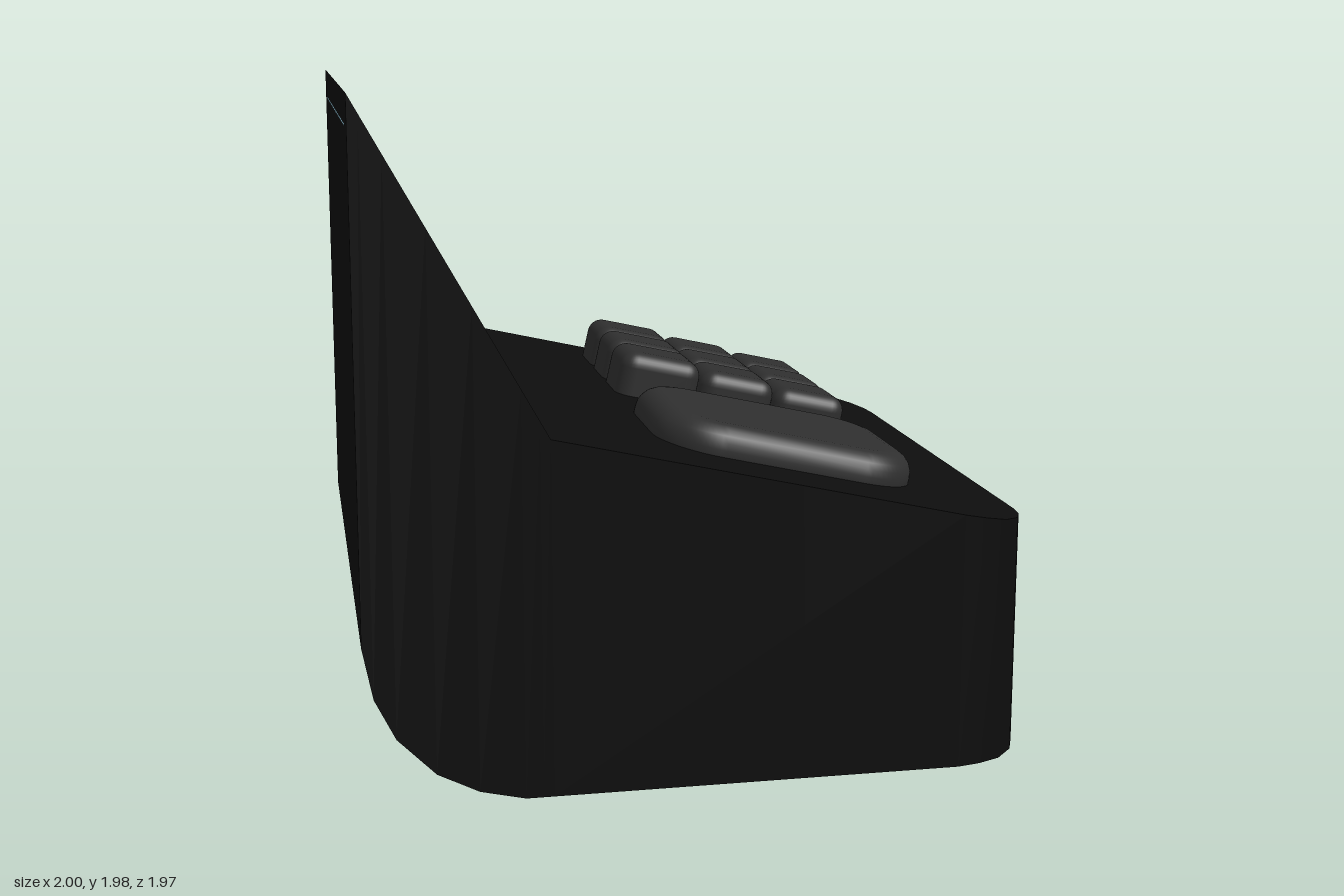
import * as THREE from 'three';
import { mergeVertices, toCreasedNormals } from 'three/addons/utils/BufferGeometryUtils.js';
import { RoundedBoxGeometry } from 'three/addons/geometries/RoundedBoxGeometry.js';

// Piecewise-linear lookup through [x, value] pairs
function lerpAt(points, x) {
  if (x <= points[0][0]) return points[0][1];
  for (let i = 1; i < points.length; i++) {
    const [x0, v0] = points[i - 1], [x1, v1] = points[i];
    if (x <= x1) return v0 + ((v1 - v0) * (x - x0)) / (x1 - x0);
  }
  return points[points.length - 1][1];
}

const TOP = [[-1, 1.98], [-0.47, 1.035], [0.97, 0.71]];
const BOTTOM = [[-1, 0.47], [-0.97, 0.32], [-0.91, 0.2], [-0.8, 0.09], [-0.68, 0.03], [-0.55, 0]];
const RECESS = [[-1, 1.89], [-0.55, 1.09], [-0.5, 1.09]];
const INSET = [[0.73, 0], [0.8, 0.015], [0.87, 0.045], [0.93, 0.11], [0.96, 0.18], [0.97, 0.25]];
const STATIONS = [-1, -0.97, -0.91, -0.8, -0.68, -0.55, -0.5, -0.47, 0.73, 0.8, 0.87, 0.93, 0.96, 0.97];
const SCREEN_Z = [-0.81, 0.84];

// Housing: sections along x, with a shallow recess for the screen
function housingGeometry() {
  const loops = STATIONS.map((x) => {
    const inset = lerpAt(INSET, x), z0 = -0.99 + inset, z1 = 0.98 - inset;
    const top = lerpAt(TOP, x), low = lerpAt(BOTTOM, x);
    const recess = x <= -0.51 ? lerpAt(RECESS, x) : top;
    const za = Math.max(SCREEN_Z[0], z0), zb = Math.min(SCREEN_Z[1], z1);
    return [[z0, low], [z1, low], [z1, top], [zb, top], [zb, recess], [za, recess], [za, top], [z0, top]]
      .map(([z, y]) => [x, y, z]);
  });
  const positions = [];
  const quad = (a, b, c, d) => [a, b, c, a, c, d].forEach((p) => positions.push(...p));
  for (let s = 0; s < loops.length - 1; s++) {
    for (let i = 0; i < 8; i++) {
      const j = (i + 1) % 8;
      quad(loops[s][i], loops[s + 1][i], loops[s + 1][j], loops[s][j]);
    }
  }
  const back = loops[0], end = loops[loops.length - 1];
  quad(back[0], back[1], back[2], back[7]);
  quad(end[0], end[7], end[2], end[1]);
  const geometry = new THREE.BufferGeometry();
  geometry.setAttribute('position', new THREE.Float32BufferAttribute(positions, 3));
  return toCreasedNormals(geometry, 0.5);
}

// Soft-edged pad lying on its local xz plane
function padGeometry(width, depth, height, corner, bevel) {
  const w = width / 2 - bevel, d = depth / 2 - bevel, r = corner - bevel;
  const shape = new THREE.Shape();
  shape.absarc(w - r, d - r, r, 0, Math.PI / 2);
  shape.absarc(-w + r, d - r, r, Math.PI / 2, Math.PI);
  shape.absarc(-w + r, -d + r, r, Math.PI, Math.PI * 1.5);
  shape.absarc(w - r, -d + r, r, Math.PI * 1.5, Math.PI * 2);
  const geometry = new THREE.ExtrudeGeometry(shape, {
    depth: height - bevel, bevelThickness: bevel, bevelSize: bevel, bevelSegments: 5, curveSegments: 8,
  });
  geometry.rotateX(-Math.PI / 2);
  geometry.deleteAttribute('normal');
  geometry.deleteAttribute('uv');
  const smooth = mergeVertices(geometry, 1e-4);
  smooth.computeVertexNormals();
  return smooth;
}

export function createModel() {
  const model = new THREE.Group();
  model.name = 'consoleTerminal';
  const black = new THREE.MeshStandardMaterial({ color: 0x0d0d0d, side: THREE.DoubleSide });
  black.name = 'black housing';
  const grey = new THREE.MeshStandardMaterial({ color: 0x2f2f2f });
  grey.name = 'charcoal keys';
  const blue = new THREE.MeshStandardMaterial({ color: 0x96cae0 });
  blue.name = 'pale blue screen';

  const add = (parent, name, geometry, material, x = 0, y = 0, z = 0) => {
    const mesh = new THREE.Mesh(geometry, material);
    mesh.name = name;
    mesh.position.set(x, y, z);
    parent.add(mesh);
    return mesh;
  };

  add(model, 'housing', housingGeometry(), black);
  add(model, 'endPanel', new THREE.BoxGeometry(0.04, 0.59, 1.25), black, 0.98, 0.355, -0.015);

  // Screen, a thin plate on the recess floor
  const screen = add(model, 'screen',
    new THREE.BoxGeometry(Math.hypot(0.45, 0.8), 0.008, 1.65), blue, -0.774, 1.491, 0.015);
  screen.rotation.z = -Math.atan2(0.8, 0.45);

  // Sloping deck carrying the keypad and the pad
  const deck = new THREE.Group();
  deck.name = 'controlDeck';
  deck.position.set(0, 0.929, 0);
  deck.rotation.z = -Math.atan2(0.325, 1.44);
  model.add(deck);

  const keypad = new THREE.Group();
  keypad.name = 'keypad';
  deck.add(keypad);
  const columns = [[0.018, 0.27, 0.143], [0.285, 0.255, 0.13], [0.54, 0.25, 0.12]];
  for (const [x, width, height] of columns) {
    for (const z of [-0.685, -0.425, -0.165]) {
      const key = new RoundedBoxGeometry(width, height + 0.1, 0.265, 4, 0.05);
      add(keypad, 'key', key, grey, x, height / 2 - 0.05, z);
    }
  }

  add(deck, 'palmPad', padGeometry(0.81, 0.66, 0.09, 0.19, 0.07), grey, 0.287, 0, 0.44);
  return model;
}
